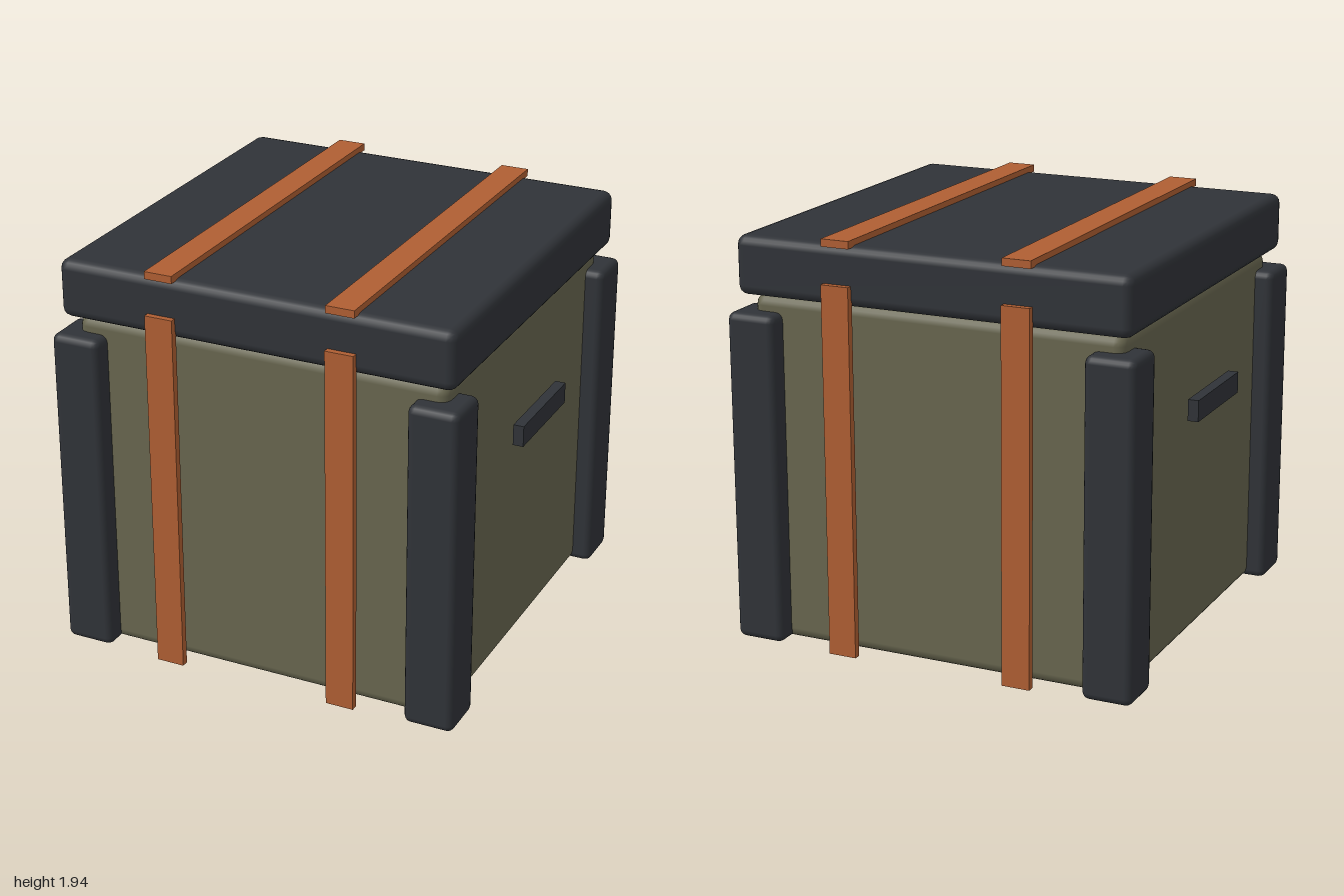
import * as THREE from 'three';
import { RoundedBoxGeometry } from 'three/addons/geometries/RoundedBoxGeometry.js';

const olive = new THREE.MeshStandardMaterial({ color: 0x68664f });
const charcoal = new THREE.MeshStandardMaterial({ color: 0x303338 });
const leather = new THREE.MeshStandardMaterial({ color: 0xb05f33 });

export function createModel() {
  const group = new THREE.Group();

  // Box given by size and centre; a radius rounds its edges
  function addBox(name, material, size, centre, radius = 0) {
    const geometry = radius
      ? new RoundedBoxGeometry(...size, 2, radius)
      : new THREE.BoxGeometry(...size);
    const mesh = new THREE.Mesh(geometry, material);
    mesh.name = name;
    mesh.position.set(...centre);
    group.add(mesh);
  }

  // Crate body and overhanging lid
  addBox('body', olive, [1.8, 1.635, 1.8], [0, 0.823, 0], 0.05);
  addBox('lid', charcoal, [1.91, 0.275, 1.91], [0, 1.778, 0], 0.045);

  for (const side of [-1, 1]) {
    const label = side > 0 ? 'left' : 'right';

    // Corner posts, front and back
    for (const end of [-1, 1]) {
      addBox(`${label}${end > 0 ? 'Front' : 'Back'}Post`, charcoal,
        [0.24, 1.56, 0.24], [side * 0.87, 0.785, end * 0.87], 0.035);

      // Upright straps standing just proud of the walls and lid
      addBox(`${label}${end > 0 ? 'Front' : 'Back'}Strap`, leather,
        [0.135, 1.74, 0.035], [side * 0.436, 0.87, end * 0.966]);
    }

    // Strap lying across the lid
    addBox(`${label}TopStrap`, leather, [0.135, 0.035, 1.945], [side * 0.436, 1.926, 0]);

    // Carrying handle
    addBox(`${label}Handle`, charcoal, [0.05, 0.1, 0.52], [side * 0.975, 1.153, 0]);
  }
  return group;
}
